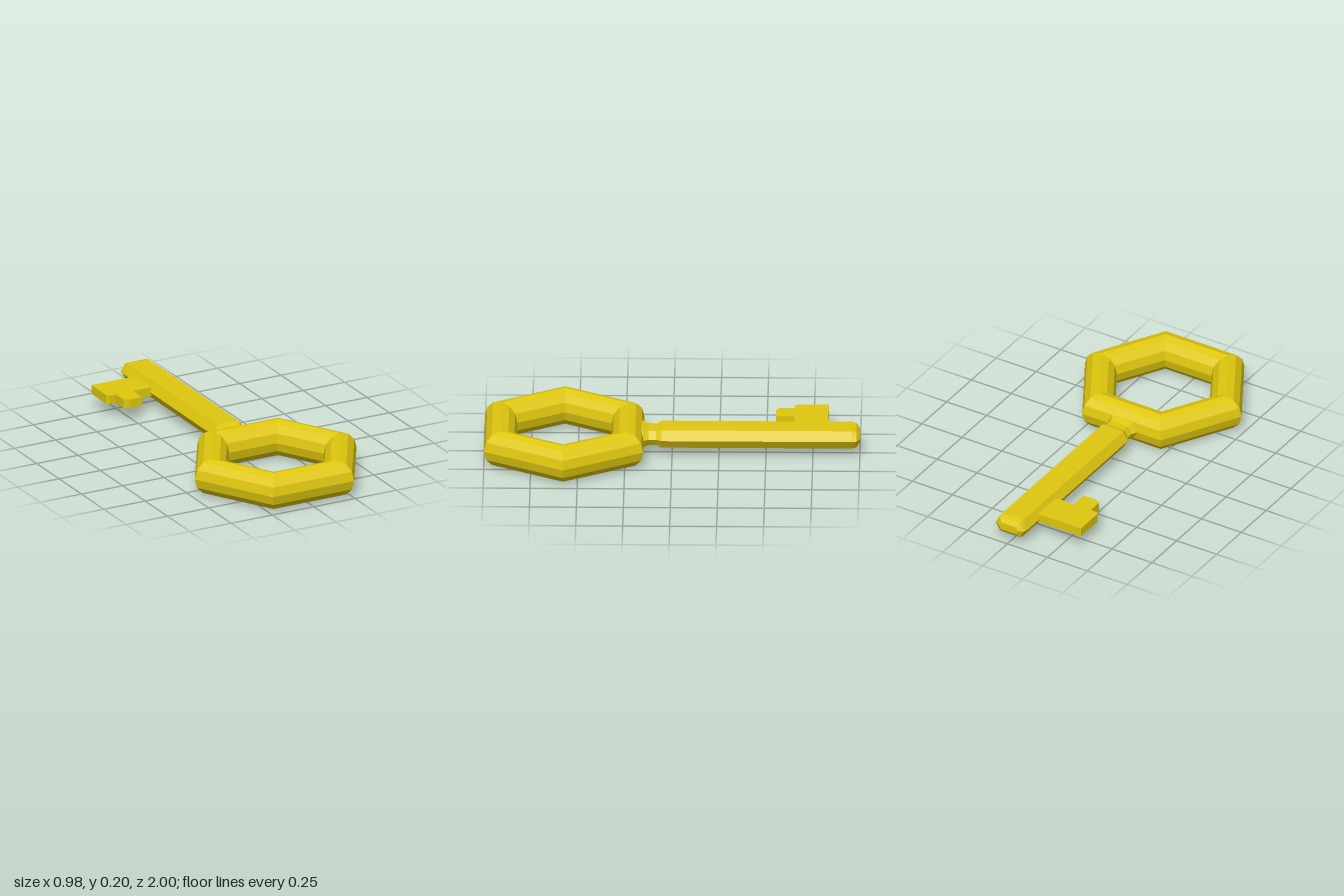
import * as THREE from 'three';

const material = new THREE.MeshStandardMaterial({ color: 0xdfc70f, flatShading: true });
const MID = 0.1; // height of the key's middle plane

function part(name, geometry) {
  const mesh = new THREE.Mesh(geometry, material);
  mesh.name = name;
  return mesh;
}

// Hexagonal bar along z; sections run front to back as [z, halfWidth, halfFlat, halfHeight]
function hexBar(sections) {
  const positions = [], index = [], n = 6;
  for (const [z, w, f, h] of sections) {
    for (const [x, y] of [[w, 0], [f, h], [-f, h], [-w, 0], [-f, -h], [f, -h]]) positions.push(x, y, z);
  }
  for (let i = 0; i < sections.length - 1; i++) {
    for (let j = 0; j < n; j++) {
      const a = i * n + j, b = i * n + (j + 1) % n;
      index.push(a, a + n, b + n, a, b + n, b);
    }
  }
  const last = (sections.length - 1) * n;
  for (let j = 1; j < n - 1; j++) {
    index.push(0, j, j + 1, last, last + j + 1, last + j);
  }
  const geometry = new THREE.BufferGeometry();
  geometry.setAttribute('position', new THREE.Float32BufferAttribute(positions, 3));
  geometry.setIndex(index);
  geometry.computeVertexNormals();
  return geometry;
}

export function createModel() {
  const key = new THREE.Group();
  key.name = 'key';

  // Six-sided bow
  const bow = part('bow', new THREE.TorusGeometry(0.39, 0.1, 12, 6).rotateX(Math.PI / 2));
  bow.position.set(0, MID, 0.575);
  key.add(bow);

  // Shaft with a pinched neck and a chamfered tip
  const shaft = part('shaft', hexBar([
    [0.18, 0.095, 0.065, 0.05],
    [0.155, 0.095, 0.065, 0.05],
    [0.125, 0.078, 0.053, 0.04],
    [0.085, 0.078, 0.053, 0.04],
    [0.055, 0.095, 0.065, 0.05],
    [-0.955, 0.095, 0.065, 0.05],
    [-0.982, 0.09, 0.062, 0.043],
    [-1, 0.06, 0.045, 0.022],
  ]));
  shaft.position.set(-0.005, MID, 0);
  key.add(shaft);

  // Flat bit with one tooth, outlined in x and z
  const outline = [
    [-0.05, -0.83], [-0.355, -0.83], [-0.355, -0.66], [-0.345, -0.65], [-0.305, -0.65],
    [-0.305, -0.565], [-0.275, -0.55], [-0.2, -0.55], [-0.2, -0.65], [-0.05, -0.65],
  ].map(([x, z]) => new THREE.Vector2(x, z));
  const thickness = 0.05;
  const bit = part('bit', new THREE.ExtrudeGeometry(new THREE.Shape(outline), { depth: thickness, bevelEnabled: false })
    .rotateX(Math.PI / 2));
  bit.position.y = MID + thickness / 2;
  key.add(bit);

  return key;
}
